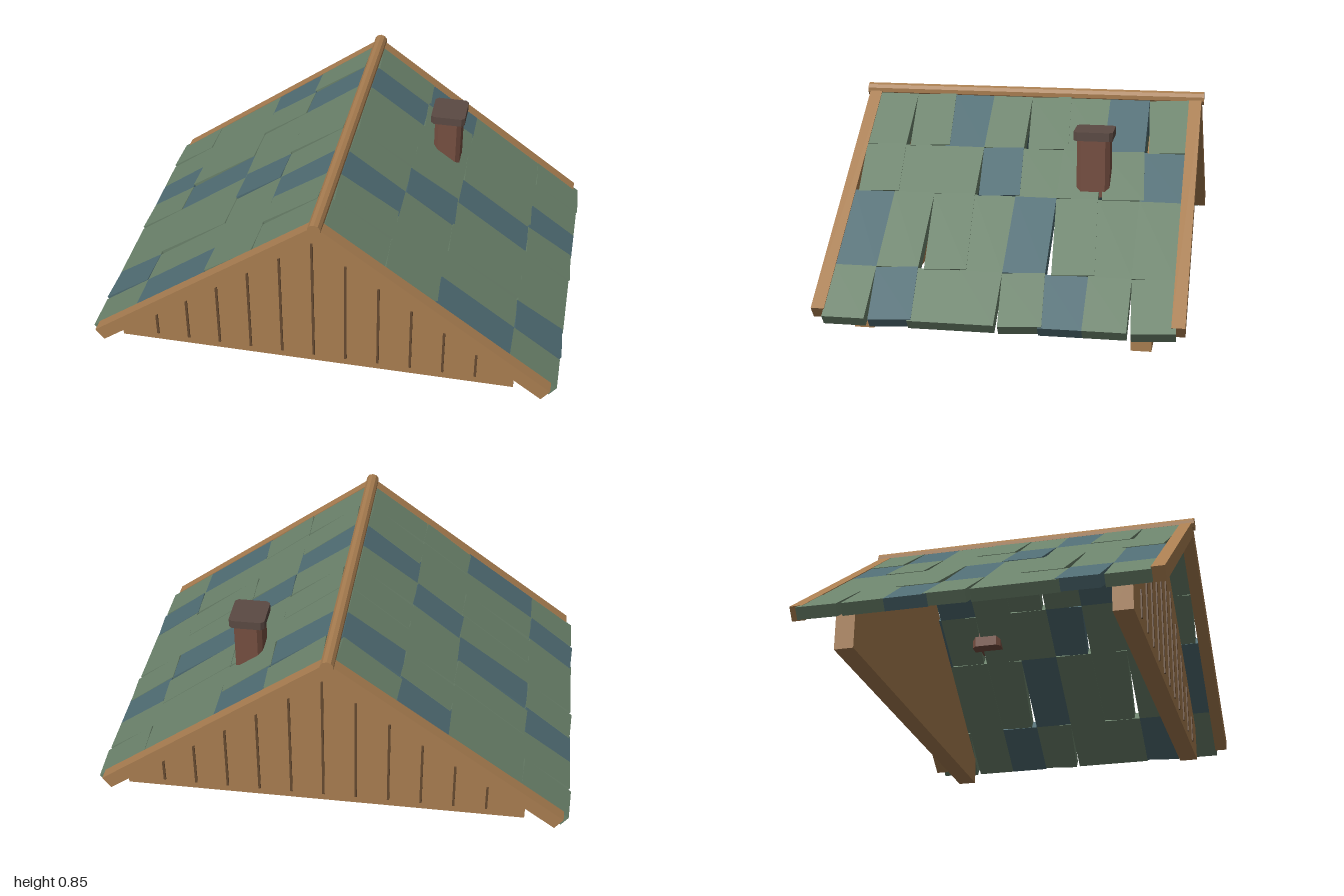
import * as THREE from 'three';

const material = (name, color) => Object.assign(new THREE.MeshStandardMaterial({ color }), { name });

export function createModel() {
  const wood = material('wood', 0xa87d50);
  const groove = material('dark wood', 0x664a30);
  const green = material('green shingle', 0x6b826b);
  const blue = material('blue shingle', 0x4f6c73);
  const brick = material('chimney brick', 0x764f41);
  const capBrown = material('chimney cap', 0x5b4a43);

  const model = new THREE.Group();
  model.name = 'gableRoof';

  const add = (parent, name, geometry, mat, x = 0, y = 0, z = 0) => {
    const mesh = new THREE.Mesh(geometry, mat);
    mesh.name = name;
    mesh.position.set(x, y, z);
    parent.add(mesh);
    return mesh;
  };
  const extrude = (points, depth) => new THREE.ExtrudeGeometry(
    new THREE.Shape(points.map(([x, y]) => new THREE.Vector2(x, y))),
    { depth, bevelEnabled: false });

  // Shingles: four courses of eight, some slightly twisted
  const slope = Math.atan(0.727);
  const courses = [0.037, 0.334, 0.593, 0.977, 1.228];
  const thick = 0.05, width = 0.17;
  for (const side of [1, -1]) {
    const turn = new THREE.Group();
    turn.name = side > 0 ? 'leftSlope' : 'rightSlope';
    turn.rotation.y = side > 0 ? 0 : Math.PI;
    const plane = new THREE.Group();
    plane.name = 'shingles';
    plane.position.y = 0.828;
    plane.rotation.z = -slope;
    turn.add(plane);
    model.add(turn);
    for (let r = 0; r < 4; r++) {
      const length = courses[r + 1] - courses[r];
      for (let i = 0; i < 8; i++) {
        const twisted = (i + r) % 3 === 1;
        const geo = new THREE.BoxGeometry(length, thick, width);
        geo.translate(length / 2, -thick / 2, 0);
        const mat = (i - r + 4) % 4 === 2 ? blue : green;
        const tile = add(plane, 'shingle', geo, mat,
          courses[r], twisted ? 0.002 : 0, side * (0.595 - i * width));
        if (twisted) tile.rotation.y = side * 0.065;
      }
    }
  }

  // Sloping edge boards, one chevron at each end
  const chevron = [[0, 0.832], [-0.968, 0.128], [-0.933, 0.08], [0, 0.758], [0.933, 0.08], [0.968, 0.128]];
  for (const z of [0.677, -0.73]) add(model, 'edgeBoard', extrude(chevron, 0.053), wood, 0, 0, z);

  // Ridge pole
  const ridge = new THREE.CylinderGeometry(0.028, 0.028, 1.48, 10).toNonIndexed();
  ridge.computeVertexNormals();
  ridge.rotateX(Math.PI / 2);
  add(model, 'ridgePole', ridge, wood, 0, 0.817, 0);

  // Gable walls with thin plank lines, the back one turned around
  const half = 0.855;
  for (const angle of [0, Math.PI]) {
    const gable = new THREE.Group();
    gable.name = angle ? 'backGable' : 'frontGable';
    gable.rotation.y = angle;
    model.add(gable);
    const wall = [[-half, 0], [half, 0], [half, 0.16], [0, 0.76], [-half, 0.16]];
    add(gable, 'gableWall', extrude(wall, 0.08), wood, -0.0425, 0, 0.52);
    for (let i = -5; i <= 5; i++) {
      const top = 0.64 - Math.abs(i) * 0.097;
      add(gable, 'plankLine', new THREE.BoxGeometry(0.01, top - 0.035, 0.008), groove,
        -0.0425 + i * 0.1385, (top + 0.035) / 2, 0.602);
    }
  }

  // Chimney: chamfered shaft and cap
  const block = (w, d, h, c) => {
    const x = w / 2, z = d / 2;
    const geo = extrude([[x - c, -z], [x, c - z], [x, z - c], [x - c, z],
      [c - x, z], [-x, z - c], [-x, c - z], [c - x, -z]], h);
    return geo.rotateX(-Math.PI / 2);
  };
  const chimney = new THREE.Group();
  chimney.name = 'chimney';
  chimney.position.set(0.388, 0, -0.314);
  model.add(chimney);
  add(chimney, 'chimneyShaft', block(0.118, 0.136, 0.245, 0.018), brick, 0, 0.48, 0);
  add(chimney, 'chimneyCap', block(0.15, 0.16, 0.036, 0.014), capBrown, 0, 0.718, 0);

  return model;
}
